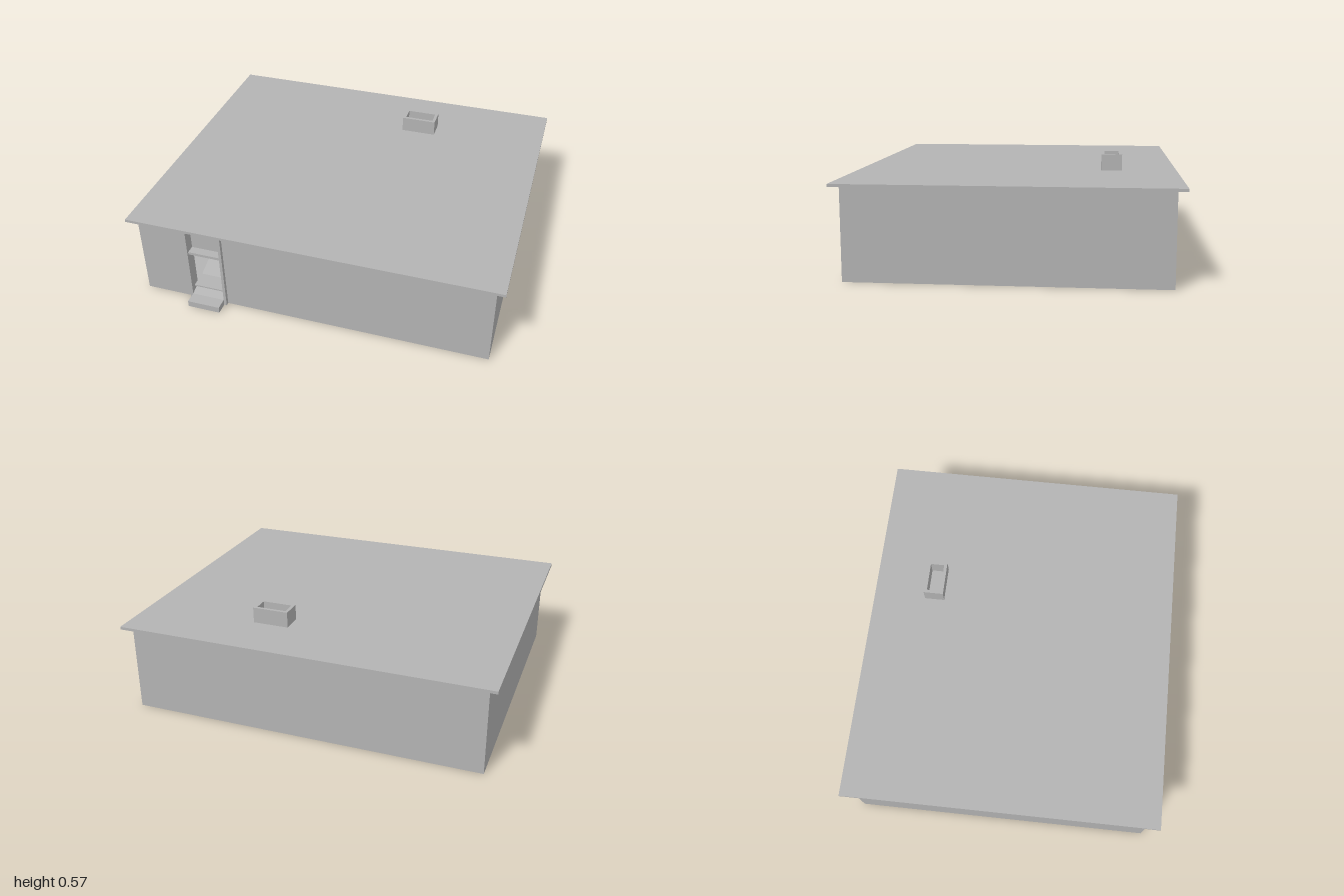
import * as THREE from 'three';

export function createModel() {
  const model = new THREE.Group();
  const grey = new THREE.MeshStandardMaterial({ color: 0xb3b3b3, side: THREE.DoubleSide });
  grey.name = 'plaster grey';

  // Box given by its minimum and maximum on each axis
  const block = (name, x0, x1, y0, y1, z0, z1, parent = model) => {
    const mesh = new THREE.Mesh(new THREE.BoxGeometry(x1 - x0, y1 - y0, z1 - z0), grey);
    mesh.position.set((x0 + x1) / 2, (y0 + y1) / 2, (z0 + z1) / 2);
    mesh.name = name;
    parent.add(mesh);
  };
  const group = (name) => {
    const g = new THREE.Group();
    g.name = name;
    model.add(g);
    return g;
  };

  const W = 0.955, BACK = -0.825, FRONT = 0.785, TOP = 0.475, T = 0.008;
  const doorL = -0.674, doorR = -0.493;

  // Outer walls, with the front split around the entrance
  const walls = group('outerWalls');
  block('backWall', -W, W, 0, TOP, BACK, BACK + T, walls);
  for (const s of [-1, 1]) {
    const x = s * (W - T / 2);
    block(s > 0 ? 'leftWall' : 'rightWall', x - T / 2, x + T / 2, 0, TOP, BACK + T, FRONT - T, walls);
  }
  block('frontWallShort', -W, doorL - 0.008, 0, TOP, FRONT - T, FRONT, walls);
  block('frontWallLong', doorR + 0.008, W, 0, TOP, FRONT - T, FRONT, walls);

  // Overhanging flat roof
  block('roof', -1, 1, TOP, 0.49, -0.87, 0.83);

  // Hollow chimney
  const chimney = group('chimney');
  const rim = 0.017;
  for (const [z0, z1] of [[-0.58, -0.58 + rim], [-0.47 - rim, -0.47]])
    block('chimneyLongSide', 0.17, 0.365, 0.49, 0.575, z0, z1, chimney);
  for (const [x0, x1] of [[0.17, 0.17 + rim], [0.365 - rim, 0.365]])
    block('chimneyShortSide', x0, x1, 0.49, 0.575, -0.58 + rim, -0.47 - rim, chimney);
  block('flue', 0.17, 0.365, 0.15, TOP, -0.58, -0.47, chimney);

  // Entrance frame with crossbar and recessed panel above
  const entrance = group('entrance');
  block('doorJamb', -0.69, doorL, 0, TOP, 0.74, 0.805, entrance);
  block('doorJamb', doorR, -0.478, 0, TOP, 0.74, 0.805, entrance);
  block('crossbar', doorL, doorR, 0.305, 0.32, 0.74, 0.795, entrance);
  block('upperPanel', doorL, doorR, 0.32, TOP, 0.74, 0.748, entrance);

  // Doorstep, open underneath
  const step = group('doorstep');
  block('stepTop', doorL, doorR, 0.03, 0.035, 0.8, 0.87, step);
  block('stepFront', doorL, doorR, 0, 0.03, 0.865, 0.87, step);
  block('stepSide', doorL, doorL + 0.005, 0, 0.03, 0.8, 0.865, step);
  block('stepSide', doorR - 0.005, doorR, 0, 0.03, 0.8, 0.865, step);

  // Sloping way in
  const rise = 0.115, run = 0.345;
  const ramp = new THREE.Mesh(
    new THREE.BoxGeometry(doorR - doorL, 0.004, Math.hypot(rise, run)), grey);
  ramp.position.set((doorL + doorR) / 2, 0.0905, 0.632);
  ramp.rotation.x = Math.atan2(rise, run);
  ramp.name = 'entranceRamp';
  model.add(ramp);

  // Raised floor with a hearth opening and a small hatch
  const plan = new THREE.Shape();
  const rect = (path, x0, x1, z0, z1) => path.moveTo(x0, -z0).lineTo(x1, -z0)
    .lineTo(x1, -z1).lineTo(x0, -z1).closePath();
  rect(plan, -W + T, W - T, BACK + T, FRONT - T);
  for (const r of [[-0.11, 0.33, -0.57, -0.39], [-0.53, -0.43, -0.1, 0]]) {
    const hole = new THREE.Path();
    rect(hole, ...r);
    plan.holes.push(hole);
  }
  const floorGeo = new THREE.ExtrudeGeometry(plan, { depth: 0.008, bevelEnabled: false });
  floorGeo.rotateX(-Math.PI / 2);
  const floor = new THREE.Mesh(floorGeo, grey);
  floor.position.y = 0.068;
  floor.name = 'floor';
  model.add(floor);
  block('hatchCover', -0.535, -0.425, 0.1, 0.108, -0.105, 0.005);

  // Inner partitions: x0, x1, z0, z1
  const rooms = group('partitions');
  for (const [x0, x1, z0, z1] of [
    [0.155, 0.947, 0.18, 0.19], [0.05, 0.947, -0.16, -0.15],
    [-0.947, -0.27, 0.457, 0.467], [-0.27, -0.26, 0.23, 0.467], [-0.27, 0.02, 0.22, 0.23],
  ]) block('partition', x0, x1, 0.076, TOP, z0, z1, rooms);

  return model;
}
